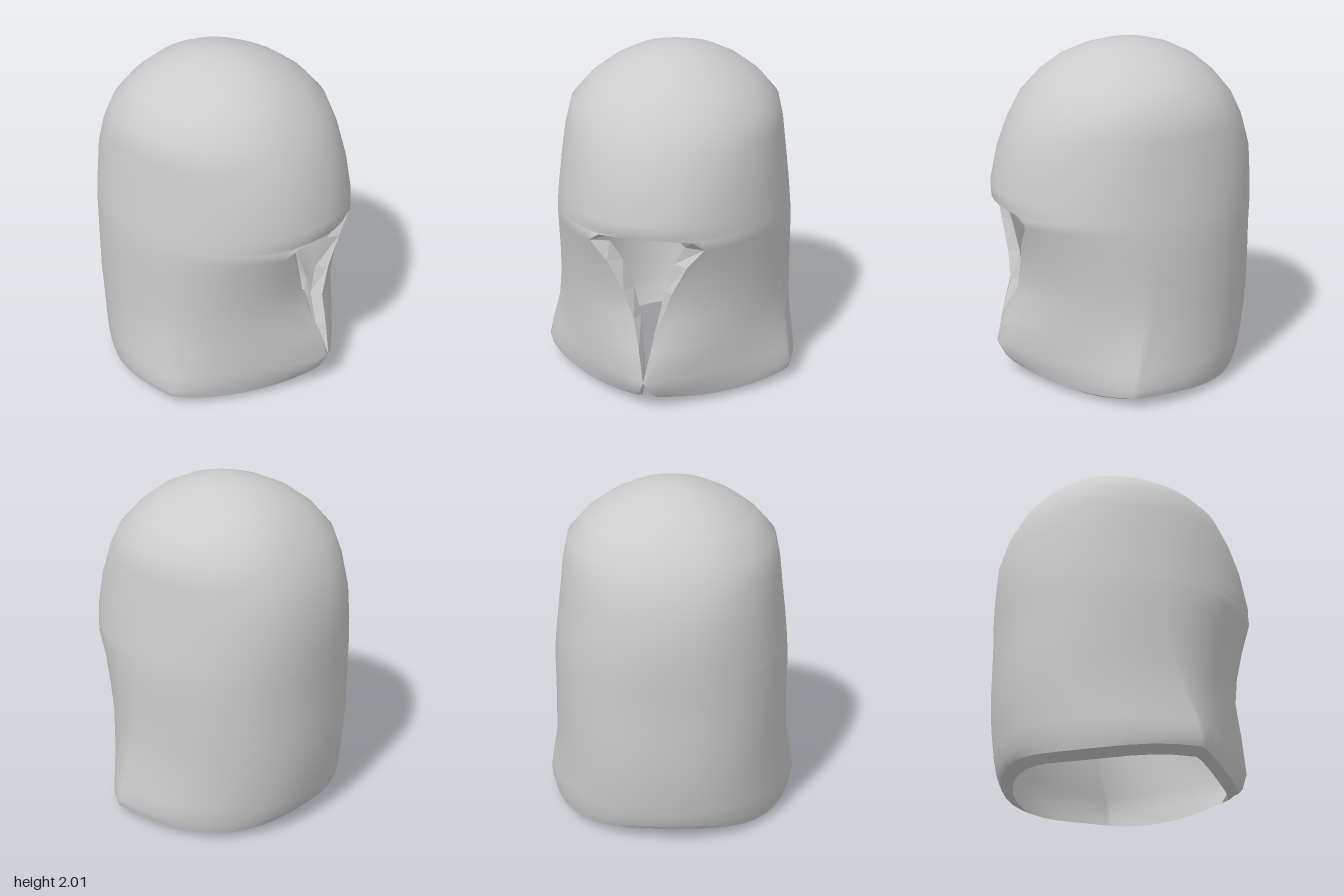
import * as THREE from 'three';
import { mergeVertices } from 'three/addons/utils/BufferGeometryUtils.js';

// Cross-sections from hem to crown:
// [y, front x, back x, centre x, half depth z, half width of face opening, front roundness]
const ROWS = [
  [0.05, 0.72, -0.70, 0.15, 0.75, 0.06, 1.2],
  [0.11, 0.75, -0.725, 0.15, 0.765, 0.035, 1.2],
  [0.2, 0.78, -0.745, 0.13, 0.75, 0, 1.22],
  [0.38, 0.735, -0.77, 0.07, 0.715, 0.035, 1.45],
  [0.55, 0.675, -0.78, 0.02, 0.705, 0.08, 1.7],
  [0.72, 0.68, -0.78, 0, 0.70, 0.14, 1.85],
  [0.9, 0.72, -0.78, 0, 0.70, 0.23, 1.9],
  [1.02, 0.77, -0.785, 0, 0.695, 0.33, 1.95],
  [1.075, 0.775, -0.785, 0, 0.69, 0.27, 1.97],
  [1.09, 0.77, -0.785, 0, 0.688, 0, 1.97],
  [1.17, 0.775, -0.785, 0, 0.68, 0, 1.97],
  [1.37, 0.73, -0.775, 0, 0.655, 0, 2],
  [1.54, 0.665, -0.725, -0.01, 0.635, 0, 2],
  [1.68, 0.585, -0.655, -0.02, 0.605, 0, 2],
  [1.8, 0.475, -0.555, -0.03, 0.50, 0, 2],
  [1.89, 0.36, -0.445, -0.04, 0.375, 0, 2],
  [1.95, 0.23, -0.32, -0.05, 0.25, 0, 2],
  [1.985, 0.1, -0.19, -0.05, 0.13, 0, 2],
  [2, -0.05, -0.05, -0.05, 0, 0, 2],
];
const BROW = 9, COLS = 44;

// One cross-section, swept from one side of the opening round the back to the other
function section([y, xf, xb, c, depth, w, pFront], row, inset) {
  const shrink = (r) => Math.max(r - inset, r * 0.8);
  const zr = shrink(depth), open = inset ? w * 0.65 : w;
  const frontR = shrink(xf - c), backR = shrink(c - xb);
  const start = zr > 0 ? Math.asin(Math.pow(open / zr, pFront / 2)) : 0;
  const points = [];
  for (let j = 0; j <= COLS; j++) {
    // the opening only pushes the columns near the face aside
    const u = Math.PI * (1 - Math.abs(1 - 2 * j / COLS));
    const side = j <= COLS / 2 ? 1 : -1;
    const t = u + start * Math.max(0, 1 - u / 1.1);
    const co = Math.cos(t), si = Math.max(0, Math.sin(t));
    const p = co > 0 ? pFront : 2.2;
    const x = c + (co > 0 ? frontR : -backR) * Math.pow(Math.abs(co), 2 / p);
    const z = side * zr * Math.pow(si, 2 / p);
    // wavy hem that tucks down and under, and a lining that sits below the crown
    const hem = row === 0 ? 0.02 * Math.cos(4 * t) + 0.01 * Math.cos(2 * t) - inset * 0.5 : 0;
    const drop = inset * Math.max(0, (y - 1.1) / 0.9);
    points.push(new THREE.Vector3(x, y + hem - drop, z));
  }
  return points;
}

// Surface through a grid of points
function surface(grid, flip) {
  const n = grid[0].length, index = [];
  const tri = (a, b, c) => index.push(...(flip ? [a, c, b] : [a, b, c]));
  for (let i = 0; i < grid.length - 1; i++) {
    for (let j = 0; j < n - 1; j++) {
      const a = i * n + j, b = a + n;
      tri(a, b, a + 1);
      tri(a + 1, b, b + 1);
    }
  }
  const geometry = new THREE.BufferGeometry().setFromPoints(grid.flat());
  geometry.setIndex(index);
  const merged = mergeVertices(geometry, 1e-4);
  merged.computeVertexNormals();
  return merged;
}

// Path along the opening, round the hem and back up the opening
function edge(grid) {
  const side = grid.slice(0, BROW + 1);
  return [
    ...side.map((r) => r[0]).reverse(),
    ...grid[0].slice(1, COLS),
    ...side.map((r) => r[COLS]),
  ];
}

export function createModel() {
  const group = new THREE.Group();
  group.name = 'hood';
  const add = (name, geometry, options = {}) => {
    const mesh = new THREE.Mesh(geometry,
      new THREE.MeshStandardMaterial({ color: 0xcccccc, ...options }));
    mesh.name = name;
    group.add(mesh);
  };
  const outer = ROWS.map((r, i) => section(r, i, 0));
  const inner = ROWS.map((r, i) => section(r, i, 0.07));

  add('outerHood', surface(outer, false));
  add('lining', surface(inner, true));
  // Thickness of the cloth at the face opening and hem
  add('rim', surface([edge(outer), edge(inner)], false),
    { flatShading: true, side: THREE.DoubleSide });
  return group;
}
